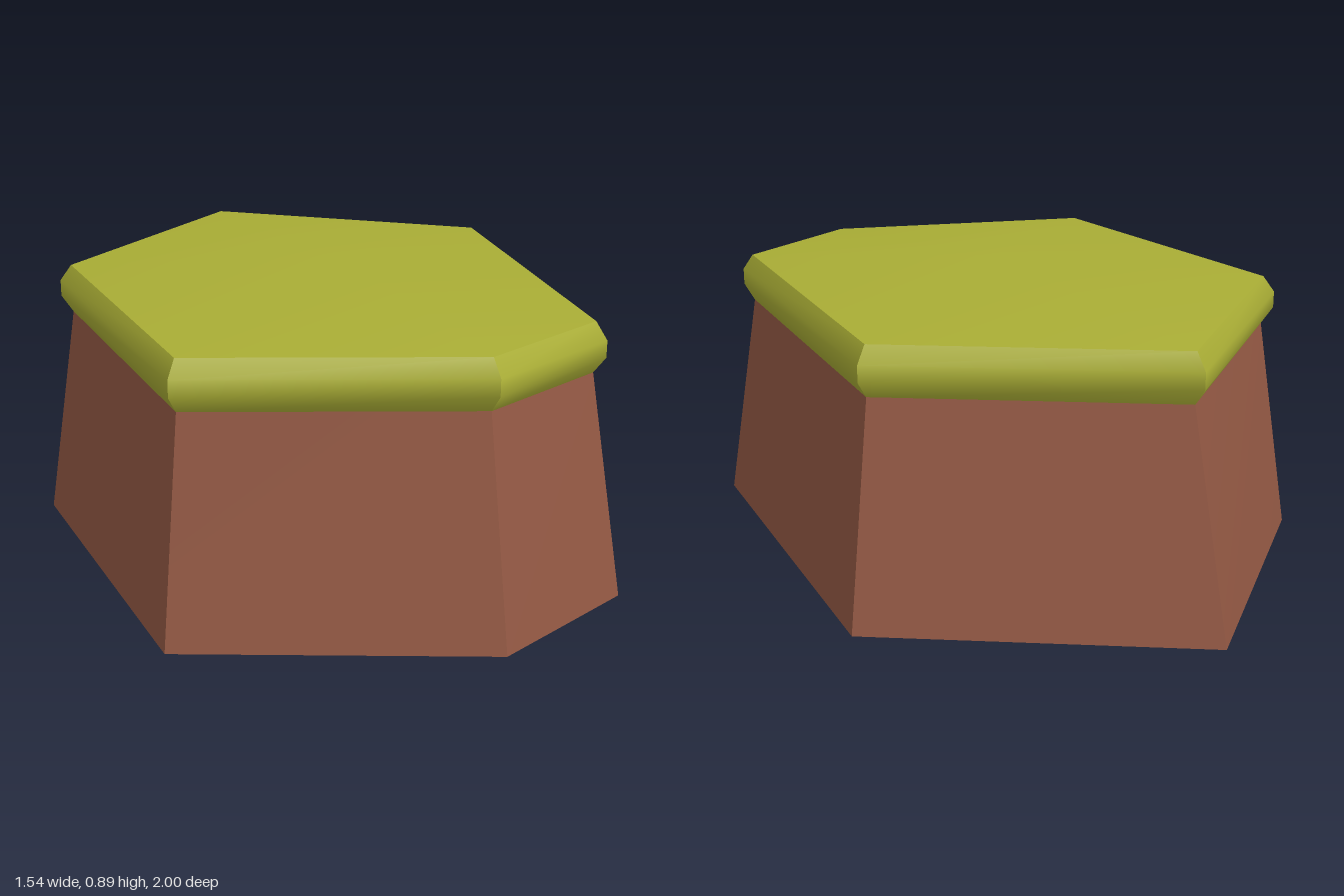
import * as THREE from 'three';

// Corners as [x, z], running back -> left -> front -> right
const FOOT = [[-0.04, -1], [0.77, -0.355], [0.58, 0.82], [0.11, 1], [-0.735, 0.62], [-0.77, -0.445]];
const RIM = [[-0.025, -0.845], [0.67, -0.3], [0.505, 0.73], [0.1, 0.88], [-0.66, 0.56], [-0.68, -0.39]];

const ring = (corners, y, grow = 0) => corners.map(([x, z]) => {
  const k = 1 + grow / Math.hypot(x, z);
  return [x * k, y, z * k];
});

function build(points, index) {
  const g = new THREE.BufferGeometry();
  g.setAttribute('position', new THREE.Float32BufferAttribute(points.flat(), 3));
  g.setIndex(index);
  g.computeVertexNormals();
  return g;
}

// Walls between stacked rings: smooth up each side, sharp at the corners
function walls(rings) {
  const points = [], index = [];
  const n = rings[0].length;
  for (let i = 0; i < n; i++) {
    const start = points.length;
    for (const r of rings) points.push(r[i], r[(i + 1) % n]);
    for (let k = 0; k < rings.length - 1; k++) {
      const a = start + 2 * k;
      index.push(a + 1, a, a + 2, a + 1, a + 2, a + 3);
    }
  }
  return build(points, index);
}

// Fan from a centre point to a ring, facing up or down
function fan(centre, r, up) {
  const index = [];
  r.forEach((_, i) => {
    const a = i + 1, b = ((i + 1) % r.length) + 1;
    index.push(0, up ? b : a, up ? a : b);
  });
  return build([centre, ...r], index);
}

export function createModel() {
  const group = new THREE.Group();
  const rock = new THREE.MeshStandardMaterial({ name: 'brown rock', color: 0x945944 });
  const moss = new THREE.MeshStandardMaterial({ name: 'moss green', color: 0xa9ad35 });
  const add = (name, geometry, material) => {
    const mesh = new THREE.Mesh(geometry, material);
    mesh.name = name;
    group.add(mesh);
  };

  // Tapered rock body
  add('rockSides', walls([ring(FOOT, 0), ring(RIM, 0.67)]), rock);
  add('rockBottom', fan([0, 0, 0], ring(FOOT, 0), false), rock);

  // Bulging grass band and its shallow peaked top
  const band = [[0.67, 0], [0.72, 0.036], [0.77, 0.036], [0.82, 0]];
  add('grassBand', walls(band.map(([y, grow]) => ring(RIM, y, grow))), moss);
  add('grassTop', fan([0.01, 0.89, 0.06], ring(RIM, 0.82), true), moss);

  return group;
}
